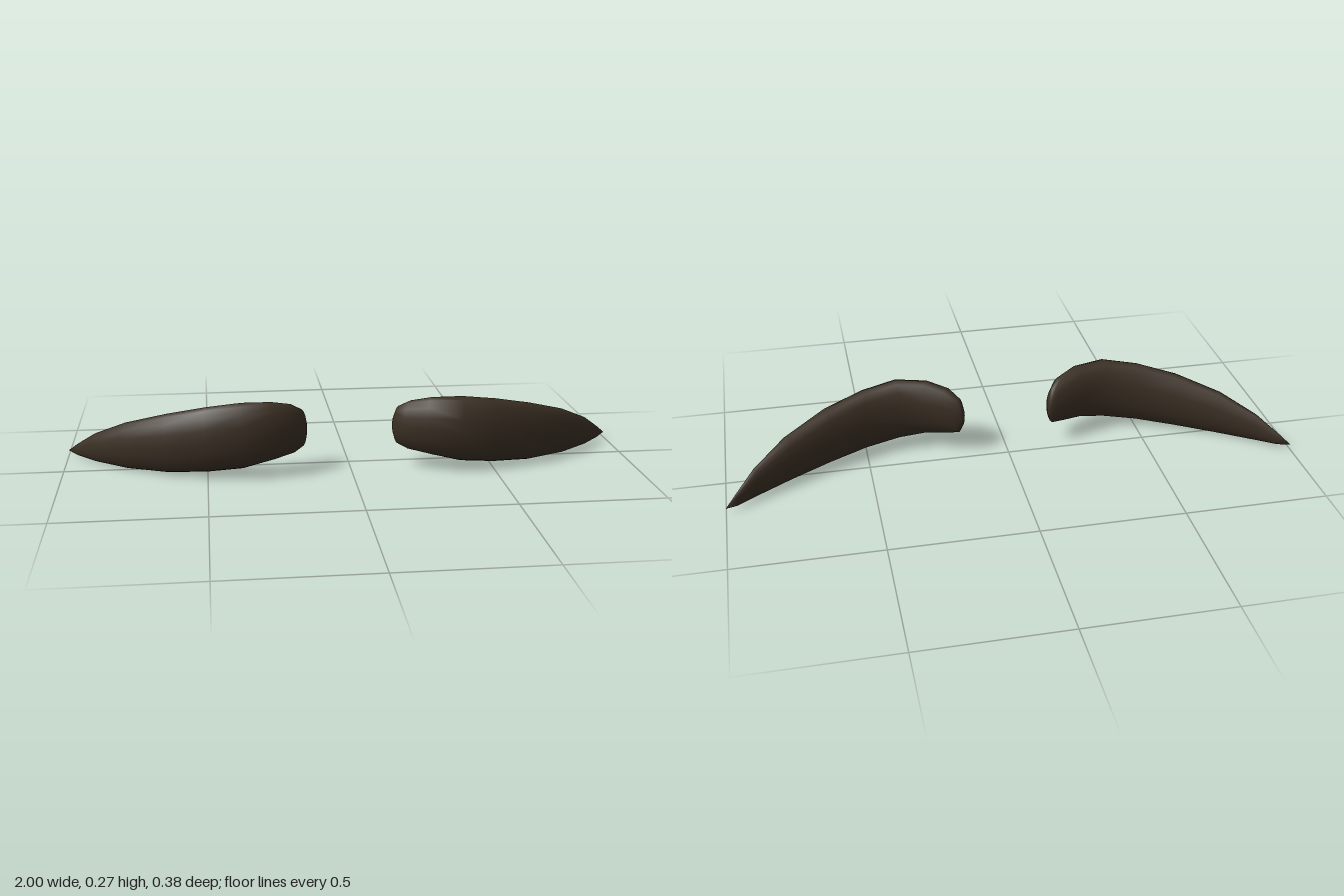
import * as THREE from 'three';

const SIDES = 16;

// Cross-sections from the blunt inner end to the pointed outer end:
// [front x, front z, back x, back z, bottom y, top y]
const SECTIONS = [
  [0.150, 0.045, 0.168, 0.027, 0.110, 0.180],
  [0.152, 0.062, 0.190, 0.032, 0.078, 0.215],
  [0.180, 0.112, 0.240, 0.045, 0.065, 0.243],
  [0.257, 0.162, 0.300, 0.064, 0.055, 0.262],
  [0.380, 0.188, 0.380, 0.078, 0.035, 0.268],
  [0.510, 0.160, 0.495, 0.062, 0.020, 0.250],
  [0.650, 0.112, 0.625, 0.012, 0.007, 0.217],
  [0.800, 0.016, 0.760, -0.050, 0.001, 0.168],
  [0.905, -0.080, 0.885, -0.120, 0.003, 0.107],
  [0.968, -0.152, 0.960, -0.168, 0.009, 0.052],
];
const INNER_END = [0.157, 0.145, 0.034];
const OUTER_TIP = [1.0, 0.02, -0.188];

// Curved, tapering brow; side is +1 for left and -1 for right
function browGeometry(side) {
  const positions = [];
  const indices = [];
  const vertex = (x, y, z) => positions.push(side * x, y, z);
  const face = (a, b, c) => (side > 0 ? indices.push(a, b, c) : indices.push(a, c, b));

  // Elliptical rings
  for (const [fx, fz, bx, bz, low, high] of SECTIONS) {
    for (let j = 0; j < SIDES; j++) {
      const angle = (j / SIDES) * Math.PI * 2;
      const c = Math.cos(angle) / 2;
      const s = Math.sin(angle) / 2;
      vertex((fx + bx) / 2 + c * (fx - bx), (low + high) / 2 + s * (high - low), (fz + bz) / 2 + c * (fz - bz));
    }
  }
  const last = (SECTIONS.length - 1) * SIDES;
  const inner = last + SIDES;
  const outer = inner + 1;
  vertex(...INNER_END);
  vertex(...OUTER_TIP);

  // Skin between rings, then the two closed ends
  for (let j = 0; j < SIDES; j++) {
    const k = (j + 1) % SIDES;
    for (let r = 0; r < last; r += SIDES) {
      face(r + j, r + SIDES + j, r + k);
      face(r + k, r + SIDES + j, r + SIDES + k);
    }
    face(inner, j, k);
    face(outer, last + k, last + j);
  }

  const geometry = new THREE.BufferGeometry();
  geometry.setAttribute('position', new THREE.Float32BufferAttribute(positions, 3));
  geometry.setIndex(indices);
  geometry.computeVertexNormals();
  return geometry;
}

export function createModel() {
  const group = new THREE.Group();
  group.name = 'eyebrows';
  const hair = new THREE.MeshStandardMaterial({ color: 0x3b3024 });
  hair.name = 'dark brown hair';

  for (const [name, side] of [['leftEyebrow', 1], ['rightEyebrow', -1]]) {
    const brow = new THREE.Mesh(browGeometry(side), hair);
    brow.name = name;
    group.add(brow);
  }
  return group;
}
